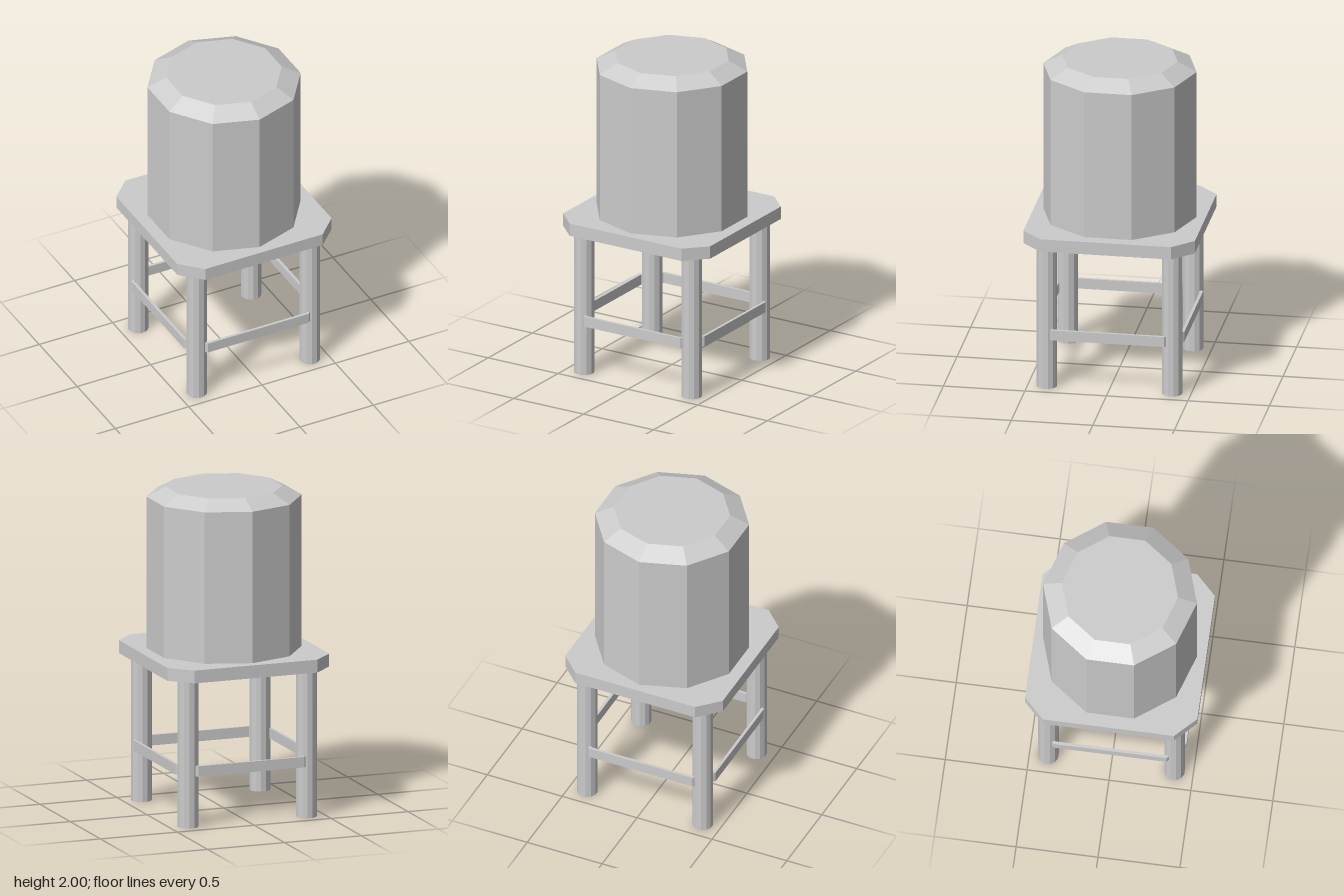
import * as THREE from 'three';

const material = new THREE.MeshStandardMaterial({ color: 0xcccccc, flatShading: true });
const openMaterial = new THREE.MeshStandardMaterial({ color: 0xcccccc, flatShading: true, side: THREE.DoubleSide });

// Corner points of a square with cut corners: half = half width, flat = half length of each straight side
function cutSquare(half, flat) {
  return [
    [flat, -half], [half, -flat], [half, flat], [flat, half],
    [-flat, half], [-half, flat], [-half, -flat], [-flat, -half],
  ].map(([x, y]) => new THREE.Vector2(x, y));
}

// Horizontal slab from an outline, with its underside at height y
function slab(shape, y, height) {
  const geometry = new THREE.ExtrudeGeometry(shape, { depth: height, bevelEnabled: false });
  return geometry.rotateX(-Math.PI / 2).translate(0, y, 0);
}

export function createModel() {
  const model = new THREE.Group();
  model.name = 'waterTower';

  const add = (name, geometry, mat = material) => {
    const mesh = new THREE.Mesh(geometry, mat);
    mesh.name = name;
    model.add(mesh);
    return mesh;
  };

  // Ten-sided tank with a sloped rim and flat lid
  const tankProfile = [[0, 1], [0.47, 1], [0.47, 1.94], [0.354, 2], [0, 2]]
    .map(([r, y]) => new THREE.Vector2(r, y));
  add('tank', new THREE.LatheGeometry(tankProfile, 10));

  // Platform with cut corners
  add('platform', slab(new THREE.Shape(cutSquare(0.526, 0.4)), 0.92, 0.08));

  // Brace band running around the legs
  const band = new THREE.Shape(cutSquare(0.452, 0.344));
  band.holes.push(new THREE.Path(cutSquare(0.434, 0.334).reverse()));
  add('braceBand', slab(band, 0.32, 0.065));

  // Four open tubular legs
  const legGeometry = new THREE.CylinderGeometry(0.063, 0.063, 0.92, 12, 1, true)
    .rotateY(Math.PI / 12).translate(0, 0.46, 0);
  for (const [front, z] of [['front', 0.385], ['back', -0.385]]) {
    for (const [side, x] of [['Left', 0.385], ['Right', -0.385]]) {
      add(`${front}${side}Leg`, legGeometry, openMaterial).position.set(x, 0, z);
    }
  }

  return model;
}
